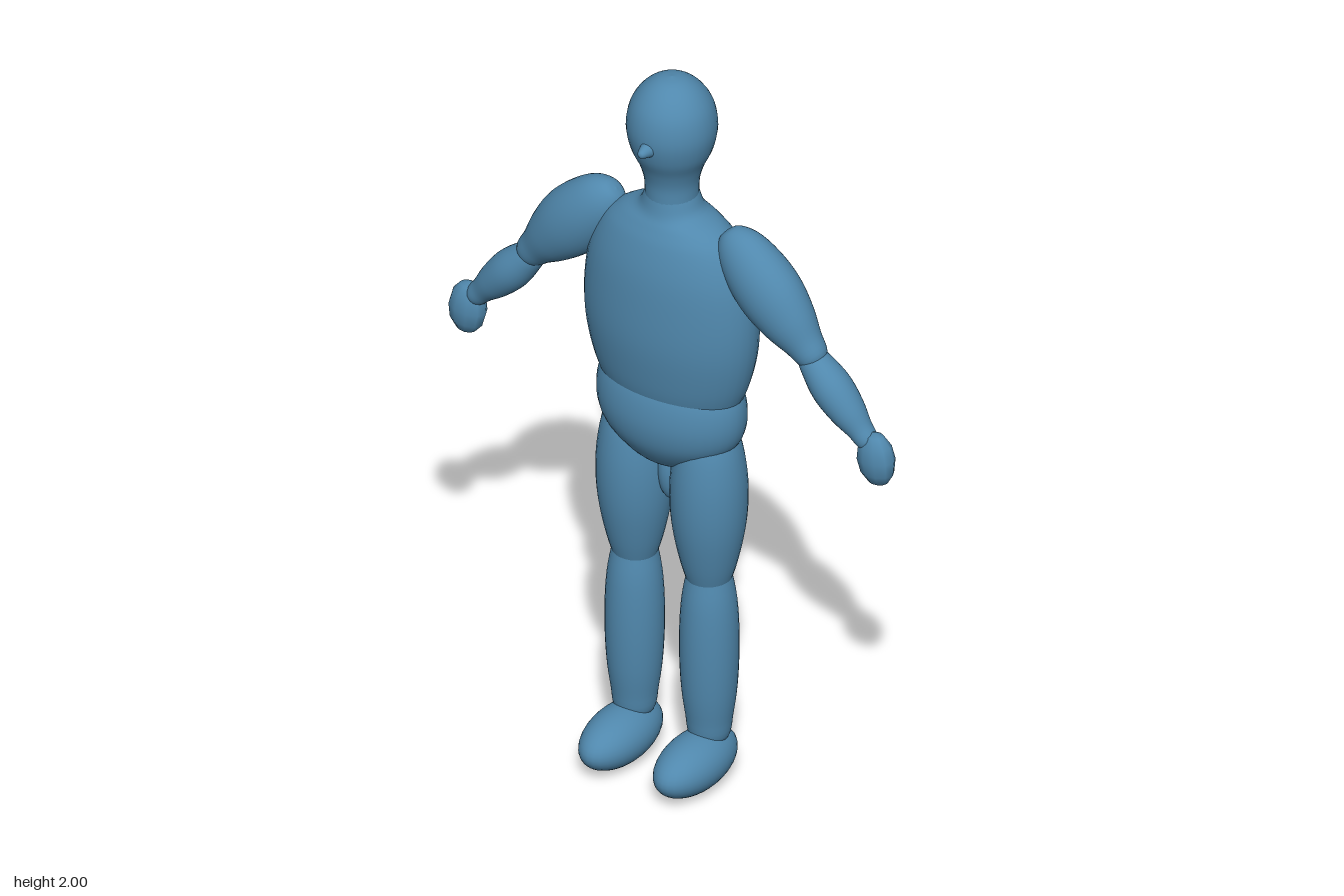
import * as THREE from 'three';
import { mergeVertices } from 'three/addons/utils/BufferGeometryUtils.js';

const Z = -0.033; // depth of the body axis

// Smooth closed form along y from [height, half width, half depth] rows, top to bottom
function loft(rows, steps = 32, sides = 32) {
  const curve = new THREE.CatmullRomCurve3(
    rows.map(([y, rx, rz]) => new THREE.Vector3(rx, y, rz)), false, 'centripetal');
  const geo = new THREE.CylinderGeometry(1, 1, 1, sides, steps, true);
  const pos = geo.attributes.position;
  for (let i = 0; i < pos.count; i++) {
    const p = curve.getPoint(Math.min(1, Math.max(0, 0.5 - pos.getY(i))));
    pos.setXYZ(i, pos.getX(i) * Math.max(p.x, 0.0002), p.y, pos.getZ(i) * Math.max(p.z, 0.0002));
  }
  geo.deleteAttribute('uv');
  geo.deleteAttribute('normal');
  const merged = mergeVertices(geo, 1e-5);
  merged.computeVertexNormals();
  return merged;
}

const round = (rows) => rows.map(([y, r]) => [y, r, r]);

export function createModel() {
  const model = new THREE.Group();
  model.name = 'figure';
  const blue = new THREE.MeshStandardMaterial({ color: 0x5088ad });
  blue.name = 'blue';

  function add(name, geometry, x = 0, y = 0, z = Z, parent = model) {
    const mesh = new THREE.Mesh(geometry, blue);
    mesh.name = name;
    mesh.position.set(x, y, z);
    parent.add(mesh);
    return mesh;
  }

  // Head and neck
  add('head', loft(round([
    [2, 0], [1.992, 0.038], [1.965, 0.075], [1.92, 0.103], [1.86, 0.113],
    [1.8, 0.102], [1.75, 0.08], [1.71, 0.069], [1.67, 0.067], [1.6, 0.068],
  ]), 40));
  const nose = add('nose', loft(round([
    [0.06, 0], [0.057, 0.008], [0.045, 0.014], [0.025, 0.021], [0, 0.034], [-0.03, 0.055],
  ]), 16, 20), 0, 1.842, 0.048);
  nose.rotation.x = Math.PI / 2;

  // Trunk
  add('torso', loft([
    [1.67, 0.066, 0.066], [1.63, 0.085, 0.075], [1.6, 0.14, 0.09], [1.56, 0.185, 0.108],
    [1.48, 0.223, 0.128], [1.38, 0.24, 0.137], [1.28, 0.24, 0.138], [1.19, 0.224, 0.128],
    [1.12, 0.2, 0.114], [1.06, 0.165, 0.09], [1.03, 0, 0],
  ], 44, 40));
  add('pelvis', loft([
    [1.2, 0, 0], [1.17, 0.165, 0.09], [1.12, 0.198, 0.117], [1.05, 0.206, 0.128],
    [0.99, 0.19, 0.12], [0.94, 0.145, 0.096], [0.9, 0.08, 0.06], [0.885, 0, 0],
  ], 32, 40));
  add('crotch', new THREE.SphereGeometry(1, 20, 14), 0, 0.86).scale.set(0.035, 0.09, 0.04);

  // Limbs, right and left
  for (const s of [-1, 1]) {
    const side = s < 0 ? 'right' : 'left';
    add(side + 'Thigh', loft(round([
      [1.06, 0], [1.04, 0.05], [0.98, 0.078], [0.9, 0.093], [0.82, 0.097],
      [0.74, 0.092], [0.66, 0.078], [0.59, 0.06], [0.54, 0.04], [0.53, 0],
    ])), s * 0.109);
    add(side + 'Calf', loft(round([
      [0.64, 0], [0.62, 0.046], [0.57, 0.06], [0.5, 0.07], [0.38, 0.074],
      [0.26, 0.069], [0.18, 0.059], [0.12, 0.048], [0.09, 0],
    ])), s * 0.11);
    add(side + 'Foot', new THREE.SphereGeometry(1, 32, 20), s * 0.11, 0.073, 0.028)
      .scale.set(0.077, 0.072, 0.146);

    // Arm segments run down their own y axis
    const upper = add(side + 'UpperArm', loft([
      [0.195, 0, 0], [0.188, 0.03, 0.026], [0.15, 0.063, 0.052], [0.08, 0.083, 0.07],
      [0, 0.088, 0.074], [-0.08, 0.072, 0.064], [-0.14, 0.051, 0.048],
      [-0.19, 0.036, 0.035], [-0.21, 0, 0],
    ]), s * 0.295, 1.468);
    upper.rotation.z = s * 0.74;
    const fore = add(side + 'Forearm', loft(round([
      [0.14, 0], [0.13, 0.029], [0.08, 0.044], [0.02, 0.052], [-0.05, 0.045],
      [-0.1, 0.033], [-0.14, 0.026], [-0.16, 0],
    ])), s * 0.487, 1.247);
    fore.rotation.z = s * 0.74;
    const hand = add(side + 'Hand', new THREE.SphereGeometry(1, 10, 6), s * 0.602, 1.105);
    hand.scale.set(0.053, 0.075, 0.037);
    hand.rotation.z = s * 0.1;
  }
  return model;
}
